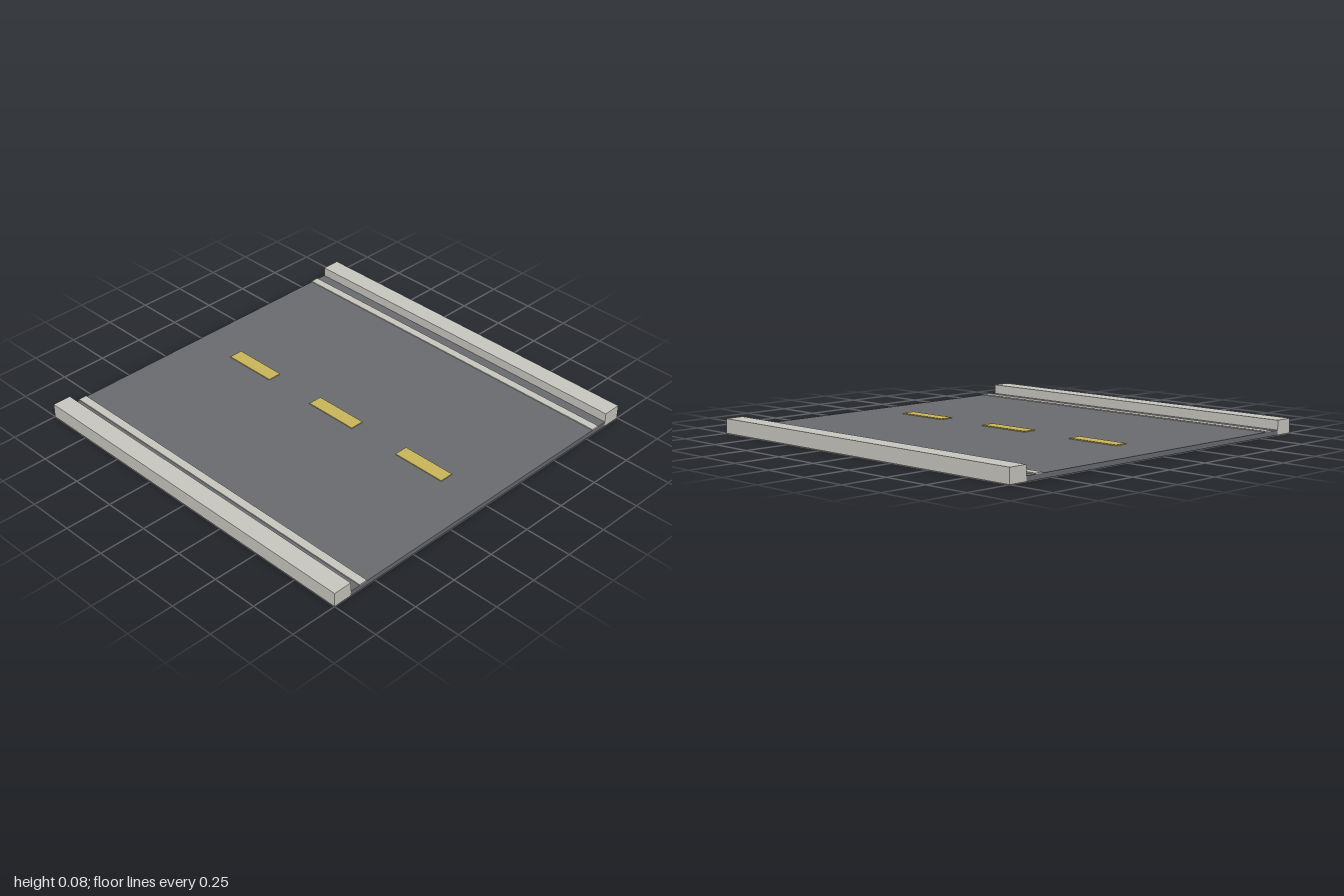
import * as THREE from 'three';

export function createModel() {
  const material = (name, color) => {
    const m = new THREE.MeshStandardMaterial({ color });
    m.name = name;
    return m;
  };
  const asphalt = material('asphalt grey', 0x6b6c70);
  const concrete = material('pale concrete', 0xc9c8c0);
  const yellow = material('road yellow', 0xc9b65a);

  const road = new THREE.Group();
  road.name = 'roadSection';

  // Box whose underside rests at height y
  const addBox = (name, mat, width, height, length, x, y, z) => {
    const mesh = new THREE.Mesh(new THREE.BoxGeometry(width, height, length), mat);
    mesh.name = name;
    mesh.position.set(x, y + height / 2, z);
    road.add(mesh);
  };

  const slabTop = 0.025;
  const paint = 0.005;

  // Road slab between the kerbs
  addBox('roadSlab', asphalt, 1.8, slabTop, 2, 0, 0, 0);

  // Kerb and edge line on each side
  for (const [side, s] of [['left', 1], ['right', -1]]) {
    addBox(`${side}Kerb`, concrete, 0.1, 0.075, 2, s * 0.95, 0, 0);
    addBox(`${side}EdgeLine`, concrete, 0.045, paint, 2, s * 0.8225, slabTop, 0);
  }

  // Dashed centre line
  for (let i = -1; i <= 1; i++) {
    addBox(`centreDash${i + 2}`, yellow, 0.075, paint, 0.3, 0, slabTop, i * 0.6);
  }

  return road;
}
